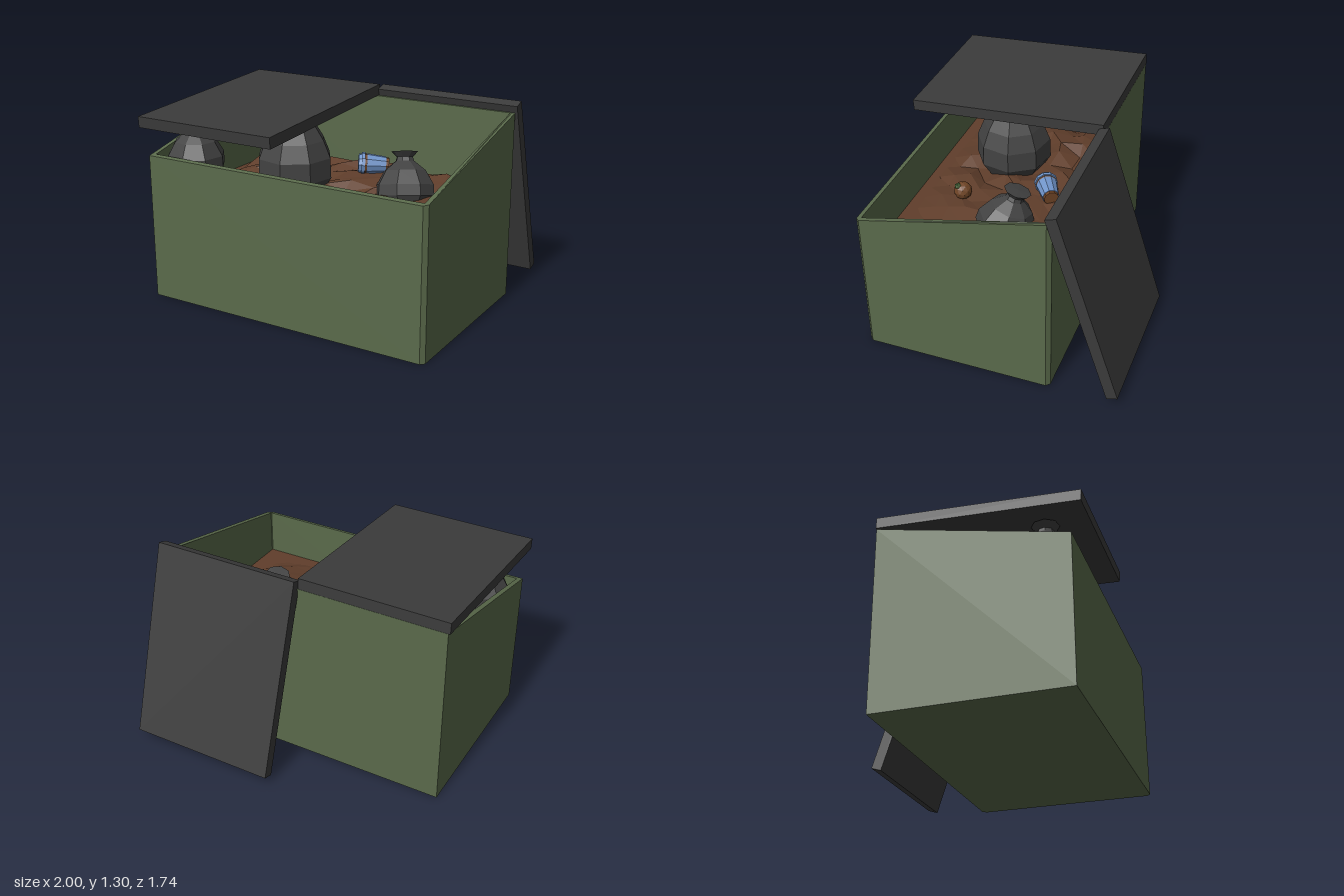
import * as THREE from 'three';

const mat = (name, color) => {
  const m = new THREE.MeshStandardMaterial({ color, flatShading: true });
  m.name = name;
  return m;
};

export function createModel() {
  const green = mat('bin green', 0x5a6a4b);
  const dark = mat('lid grey', 0x3b3b3b);
  const black = mat('bag grey', 0x424242);
  const brown = mat('rubbish brown', 0x603e2b);
  const blue = mat('cup blue', 0x6f93c8);
  const rust = mat('light brown', 0x704526);
  const leaf = mat('leaf green', 0x4f7040);

  const model = new THREE.Group();
  model.name = 'openBin';
  const add = (name, geometry, material, x = 0, y = 0, z = 0, parent = model) => {
    const mesh = new THREE.Mesh(geometry, material);
    mesh.name = name;
    mesh.position.set(x, y, z);
    parent.add(mesh);
    return mesh;
  };

  // Walls: chamfered footprint with a hole, top cut along a sloping rim
  const outline = (x0, x1, z0, z1, c) => [
    [x0, -z1], [x1 - c, -z1], [x1, -z1 + c], [x1, -z0 - c], [x1 - c, -z0], [x0, -z0],
  ].map(([x, y]) => new THREE.Vector2(x, y));
  const footprint = new THREE.Shape(outline(-0.988, 0.985, -0.43, 0.8, 0.025));
  footprint.holes.push(new THREE.Path(outline(-0.957, 0.955, -0.4, 0.77, 0.004).reverse()));
  const walls = new THREE.ExtrudeGeometry(footprint, { depth: 1, bevelEnabled: false });
  walls.rotateX(-Math.PI / 2);
  const wp = walls.attributes.position;
  for (let i = 0; i < wp.count; i++) {
    const rim = Math.min(1.23, 0.957 + (0.8 - wp.getZ(i)) * 0.226);
    wp.setY(i, wp.getY(i) * rim);
  }
  walls.computeVertexNormals();
  add('binWalls', walls, green);
  add('binFloor', new THREE.BoxGeometry(1.93, 0.03, 1.19), green, 0, 0.015, 0.185);

  // Lids: one nearly closed, one hanging open behind
  const lid = new THREE.BoxGeometry(0.998, 0.072, 1.298);
  add('closedLid', lid, dark, -0.501, 1.228, 0.22).rotation.x = 0.06;
  add('openLid', lid, dark, 0.501, 0.668, -0.632).rotation.x = -(Math.PI / 2 - 0.313);

  // Rubbish: a flat bed with a lumpy mound
  add('rubbishBed', new THREE.BoxGeometry(1.912, 0.02, 1.17), brown, 0, 0.65, 0.185);
  let seed = 7;
  const rand = () => (seed = (seed * 16807) % 2147483647) / 2147483647;
  const mound = new THREE.PlaneGeometry(1.8, 1.1, 14, 9);
  mound.rotateX(-Math.PI / 2);
  const mp = mound.attributes.position;
  for (let i = 0; i < mp.count; i++) {
    const x = mp.getX(i), z = mp.getZ(i) + 0.17;
    const u = Math.abs(x) / 0.9, v = Math.abs(z - 0.17) / 0.55;
    const edge = Math.max(u, v) > 0.99;
    const top = 0.735 + (0.3 - z) * 0.13 + (rand() - 0.5) * 0.06 - 0.05 * u ** 4;
    const shrink = 1 - 0.06 * u * u * v * v;
    const jx = (rand() - 0.5) * 0.06, jz = (rand() - 0.5) * 0.05;
    mp.setXYZ(i, x * shrink + (edge ? 0 : jx), edge ? 0.655 : top,
      0.17 + (z - 0.17) * shrink + (edge ? 0 : jz));
  }
  mound.computeVertexNormals();
  add('rubbishMound', mound, brown);

  // Tied bags: faceted lathes with a pinched neck and flared top
  const bag = (name, profile, x, y, z, tiltX = 0, tiltZ = 0) => {
    const g = new THREE.LatheGeometry(profile.map(([r, h]) => new THREE.Vector2(r, h)), 8);
    add(name, g, black, x, y, z).rotation.set(tiltX, 0.2, tiltZ);
  };
  const small = [[0, 0], [0.13, 0.01], [0.19, 0.1], [0.187, 0.17], [0.135, 0.26],
    [0.06, 0.32], [0.052, 0.345], [0.088, 0.38], [0, 0.385]];
  const large = [[0, 0], [0.17, 0.01], [0.25, 0.14], [0.245, 0.27], [0.2, 0.38],
    [0.14, 0.475], [0.06, 0.488], [0.055, 0.497], [0.085, 0.512], [0, 0.515]];
  bag('frontBag', small, -0.78, 0.78, 0.59);
  bag('largeBag', large, -0.24, 0.67, 0.26);
  bag('leaningBag', small, 0.475, 0.63, 0.085, -0.31, 0.17);

  // Discarded cup lying on its side, lid end first
  const cup = new THREE.Group();
  cup.name = 'cup';
  cup.position.set(0.13, 0.84, -0.115);
  cup.quaternion.setFromUnitVectors(new THREE.Vector3(0, 1, 0),
    new THREE.Vector3(-0.13, 0.01, 0.08).normalize());
  model.add(cup);
  const ring = (name, top, bottom, h, y, m) =>
    add(name, new THREE.CylinderGeometry(top, bottom, h, 10), m, 0, y, 0, cup);
  ring('cupLidTop', 0.062, 0.066, 0.02, 0.09, blue);
  ring('cupLidRim', 0.076, 0.076, 0.022, 0.069, blue);
  ring('cupBand', 0.068, 0.067, 0.014, 0.051, rust);
  ring('cupBody', 0.069, 0.054, 0.125, -0.018, blue);
  ring('cupBase', 0.05, 0.048, 0.02, -0.09, rust);

  // Eaten fruit with a green patch
  add('fruit', new THREE.IcosahedronGeometry(0.06, 1), rust, 0.23, 0.765, 0.435);
  add('fruitPatch', new THREE.IcosahedronGeometry(0.024, 0), leaf, 0.253, 0.805, 0.458);

  return model;
}
